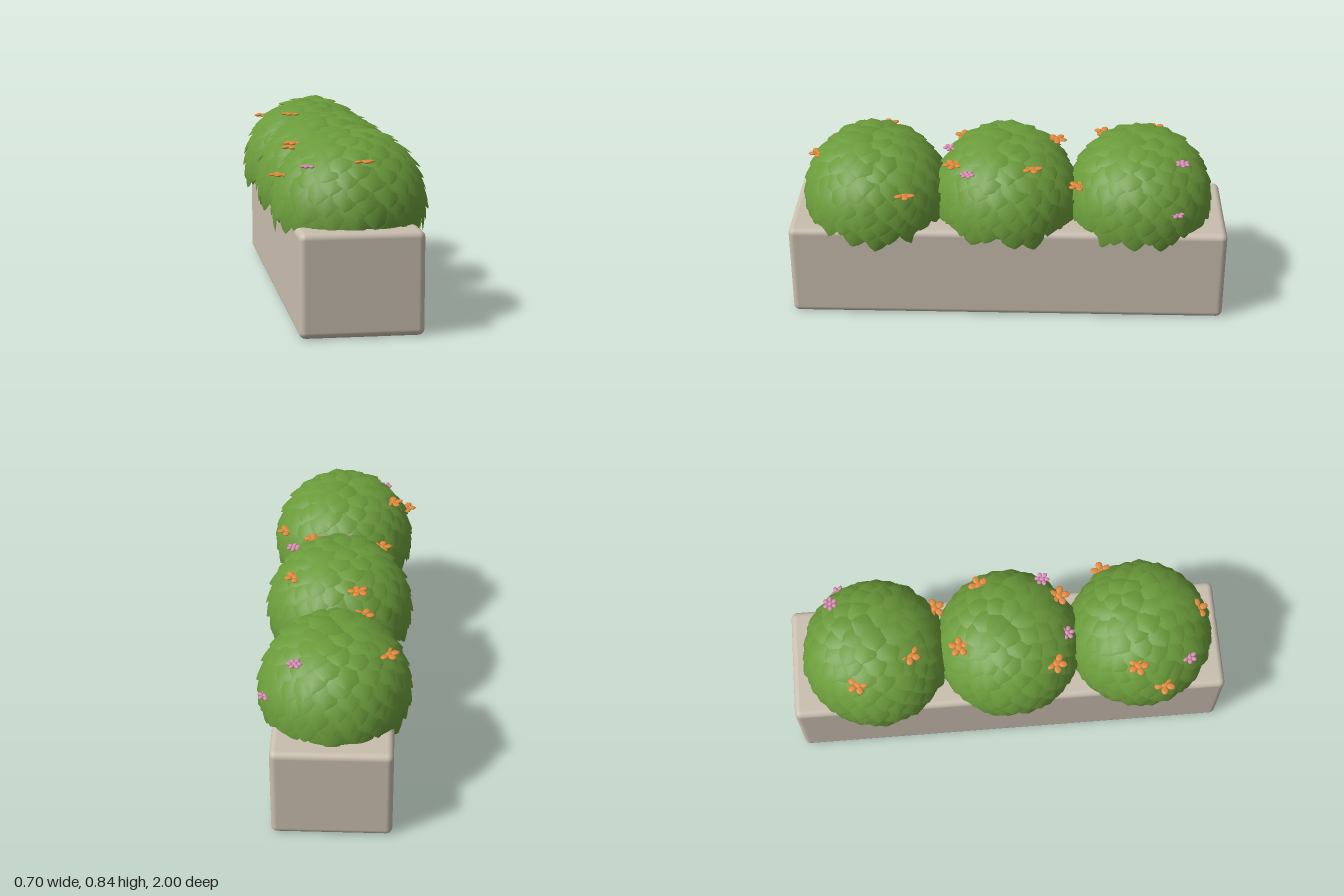
import * as THREE from 'three';
import { mergeGeometries } from 'three/addons/utils/BufferGeometryUtils.js';
import { RoundedBoxGeometry } from 'three/addons/geometries/RoundedBoxGeometry.js';

const BUSH_Y = 0.503;
const CORE = 0.318;
const BUSHES = [0.615, 0.01, -0.605];

const material = (name, color, side = THREE.FrontSide) => {
  const m = new THREE.MeshStandardMaterial({ color, side });
  m.name = name;
  return m;
};

function seeded(seed) {
  return () => {
    seed = (seed * 16807) % 2147483647;
    return seed / 2147483647;
  };
}

// One scale-like leaf hugging a sphere, its tip pointing down and lifted outward
const OUTLINE = [[0, 0.55], [0.25, 0.9], [0.5, 1], [0.72, 0.85], [0.88, 0.5], [1, 0.06]];
function leaf(theta, phi, length, halfWidth, roll, lift) {
  const d = new THREE.Vector3().setFromSphericalCoords(1, theta, phi);
  const down = new THREE.Vector3().setFromSphericalCoords(1, theta + Math.PI / 2, phi);
  const side = new THREE.Vector3().crossVectors(down, d);
  down.applyAxisAngle(d, roll);
  side.applyAxisAngle(d, roll);
  const pos = [], index = [], cols = 4;
  OUTLINE.forEach(([t, w]) => {
    for (let c = 0; c <= cols; c++) {
      const s = (c / cols) * 2 - 1;
      const r = CORE - 0.003 + lift * Math.pow(t, 0.8) - 0.008 * s * s * w;
      const p = d.clone()
        .addScaledVector(down, (t - 0.5) * length)
        .addScaledVector(side, s * w * halfWidth)
        .normalize().multiplyScalar(r);
      pos.push(p.x, p.y, p.z);
    }
  });
  for (let i = 0; i < OUTLINE.length - 1; i++) {
    for (let c = 0; c < cols; c++) {
      const a = i * (cols + 1) + c, b = a + cols + 1;
      index.push(a, a + 1, b, b, a + 1, b + 1);
    }
  }
  const g = new THREE.BufferGeometry();
  g.setAttribute('position', new THREE.Float32BufferAttribute(pos, 3));
  g.setIndex(index);
  g.computeVertexNormals();
  // Keep the normals outward whichever way the rows run
  const n = new THREE.Vector3().fromBufferAttribute(g.attributes.normal, 12);
  if (n.dot(d) < 0) {
    for (let i = 0; i < index.length; i += 3) [index[i], index[i + 1]] = [index[i + 1], index[i]];
    g.setIndex(index);
    g.computeVertexNormals();
  }
  return g;
}

// Spiral of overlapping leaves from the crown down past the planter rim
function foliage(seed) {
  const rand = seeded(seed), leaves = [], count = 165;
  const bottom = Math.cos(1.79);
  for (let i = 0; i < count; i++) {
    const theta = Math.acos(1 - (1 - bottom) * (i + 0.3) / count);
    const phi = i * 2.399963 + (rand() - 0.5) * 0.12;
    leaves.push(leaf(
      theta + (rand() - 0.5) * 0.05, phi,
      0.36 + rand() * 0.08, 0.17 + rand() * 0.04,
      (rand() - 0.5) * 0.5, 0.022 + rand() * 0.008,
    ));
  }
  return mergeGeometries(leaves);
}

// Flat ring of rounded petals with a centre
function flower(petals, reach, size) {
  const parts = [];
  for (let i = 0; i <= petals; i++) {
    const g = new THREE.SphereGeometry(1, 10, 6).scale(size, 0.006, size * 0.8);
    if (i < petals) g.translate(reach, 0, 0).rotateY((i / petals) * Math.PI * 2);
    parts.push(g);
  }
  return mergeGeometries(parts);
}

// Flower positions: x, y, z
const ORANGE = [
  [0.02, 0.715, 0.87], [-0.24, 0.74, 0.57], [-0.305, 0.64, 0.69], [0.27, 0.635, 0.46],
  [0.13, 0.72, 0.25], [-0.19, 0.71, 0.21], [0.2, 0.742, -0.11], [-0.09, 0.745, -0.22],
  [-0.23, 0.74, -0.68], [-0.12, 0.77, -0.44], [0.15, 0.63, -0.32],
];
const PINK = [
  [-0.2, 0.69, 0.81], [-0.05, 0.715, 0.27], [0.22, 0.717, 0.18],
  [0.16, 0.755, -0.785], [0.29, 0.567, -0.76],
];

export function createModel() {
  const model = new THREE.Group();
  model.name = 'planterWithBushes';
  const stone = material('warm stone', 0xc9beaf);
  const green = material('leaf green', 0x6a9a3a, THREE.DoubleSide);
  const orange = material('orange petals', 0xe0893a);
  const pink = material('pink petals', 0xd98ab5);

  const add = (parent, name, geometry, mat, x = 0, y = 0, z = 0) => {
    const mesh = new THREE.Mesh(geometry, mat);
    mesh.name = name;
    mesh.position.set(x, y, z);
    parent.add(mesh);
    return mesh;
  };

  // Long stone trough
  add(model, 'planter', new RoundedBoxGeometry(0.524, 0.44, 2, 3, 0.028), stone, 0, 0.22, 0);

  // Three clipped bushes: solid core and leaf shell
  BUSHES.forEach((z, i) => {
    const bush = new THREE.Group();
    bush.name = `bush${i + 1}`;
    bush.position.set(0, BUSH_Y, z);
    add(bush, 'bushCore', new THREE.SphereGeometry(CORE - 0.006, 32, 20, 0, Math.PI * 2, 0, 1.8), green);
    add(bush, 'leaves', foliage(101 + i * 977), green);
    bush.rotation.y = i * 1.3;
    model.add(bush);
  });

  // Small flat blossoms peeking out of the leaves
  const blossoms = new THREE.Group();
  blossoms.name = 'blossoms';
  model.add(blossoms);
  const orangeShape = flower(5, 0.029, 0.02);
  const pinkShape = flower(6, 0.022, 0.013);
  ORANGE.forEach(([x, y, z], i) => {
    add(blossoms, 'orangeBlossom', orangeShape, orange, x, y, z).rotation.y = i * 0.9;
  });
  PINK.forEach(([x, y, z], i) => {
    add(blossoms, 'pinkBlossom', pinkShape, pink, x, y, z).rotation.y = i * 0.7;
  });
  return model;
}
